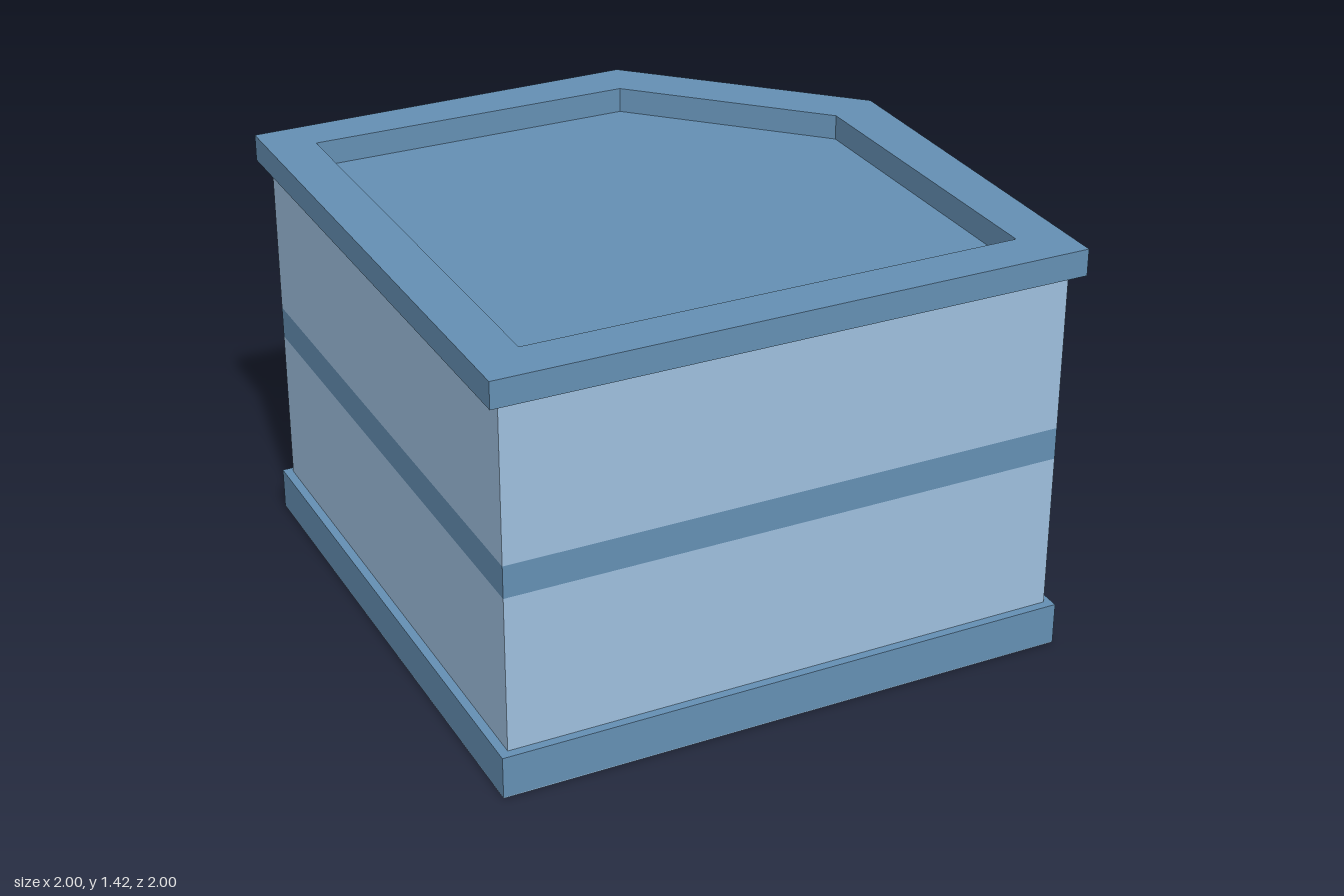
import * as THREE from 'three';

const wallBlue = new THREE.MeshStandardMaterial({ color: 0x9fc0df });
wallBlue.name = 'paleBlueWall';
const trimBlue = new THREE.MeshStandardMaterial({ color: 0x6590b4 });
trimBlue.name = 'blueTrim';

// Five-sided plans with one cut corner, as [x, z] points
const basePlan = [[-0.99, 0.99], [0.97, 0.99], [0.98, -0.335], [0.335, -0.98], [-0.99, -0.97]];
const wallPlan = [[-0.96, 0.96], [0.945, 0.96], [0.95, -0.325], [0.325, -0.95], [-0.96, -0.945]];
const rimPlan = [[-1, 1], [0.985, 1], [1, -0.35], [0.345, -1], [-1, -0.985]];
const recessPlan = [[-0.84, 0.84], [0.825, 0.84], [0.825, -0.28], [0.275, -0.83], [-0.84, -0.83]];

const toPoints = (plan) => plan.map(([x, z]) => new THREE.Vector2(x, -z));

// Upright slab of a plan between two heights, with an optional opening
function slab(name, plan, y0, y1, material, opening) {
  const shape = new THREE.Shape(toPoints(plan));
  if (opening) shape.holes.push(new THREE.Path(toPoints(opening)));
  const geometry = new THREE.ExtrudeGeometry(shape, { depth: y1 - y0, bevelEnabled: false });
  geometry.rotateX(-Math.PI / 2);
  geometry.translate(0, y0, 0);
  const mesh = new THREE.Mesh(geometry, material);
  mesh.name = name;
  return mesh;
}

export function createModel() {
  const model = new THREE.Group();
  model.name = 'cornerBuilding';
  model.add(
    // Plinth and its underside
    slab('underside', basePlan, 0, 0.003, wallBlue),
    slab('plinth', basePlan, 0.003, 0.145, trimBlue),
    // Walls split by the horizontal band
    slab('lowerWalls', wallPlan, 0.145, 0.68, wallBlue),
    slab('band', wallPlan, 0.68, 0.79, trimBlue),
    slab('upperWalls', wallPlan, 0.79, 1.33, wallBlue),
    // Flat roof sunk behind a parapet
    slab('roofFloor', recessPlan, 1.33, 1.335, trimBlue),
    slab('parapet', rimPlan, 1.33, 1.42, trimBlue, recessPlan),
  );
  return model;
}
